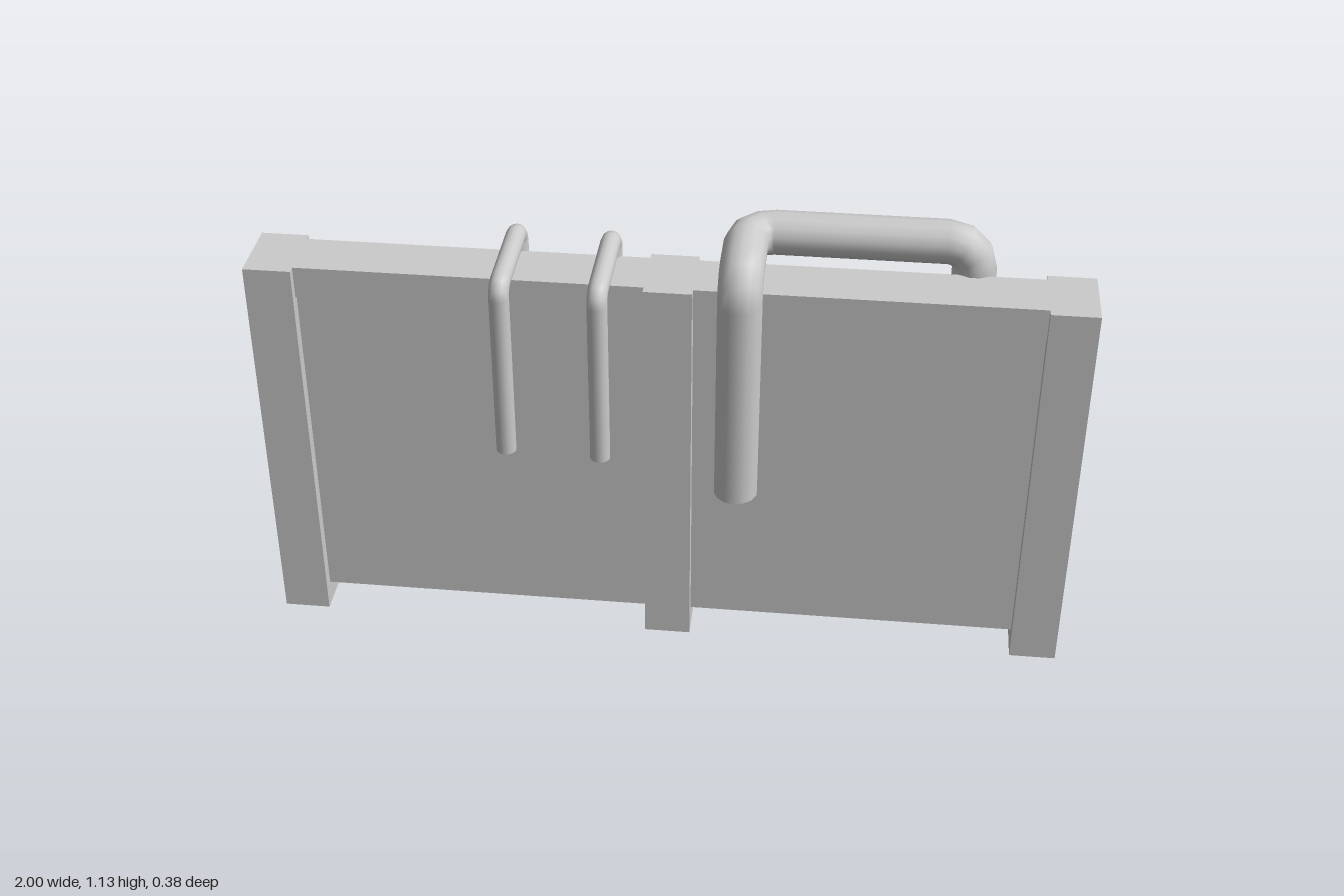
import * as THREE from 'three';

const grey = new THREE.MeshStandardMaterial({ color: 0xcccccc, side: THREE.DoubleSide });

// Polyline path with evenly stepped round bends; u runs over the listed stations
class PipePath extends THREE.Curve {
  constructor(corners, bend) {
    super();
    const v = corners.map((c) => new THREE.Vector3(...c));
    const last = v.length - 1;
    const dir = (i) => v[i + 1].clone().sub(v[i]).normalize();
    this.stations = [{ p: v[0], t: dir(0) }];
    for (let i = 1; i < last; i++) {
      const a = dir(i - 1), b = dir(i);
      const centre = v[i].clone().addScaledVector(a, -bend).addScaledVector(b, bend);
      for (let k = 0; k <= 3; k++) {
        const ang = (k / 3) * Math.PI / 2, s = Math.sin(ang), c = Math.cos(ang);
        this.stations.push({
          p: centre.clone().addScaledVector(a, bend * s).addScaledVector(b, -bend * c),
          t: a.clone().multiplyScalar(c).addScaledVector(b, s),
        });
      }
    }
    this.stations.push({ p: v[last], t: dir(last - 1) });
  }
  station(u) { return this.stations[Math.round(u * (this.stations.length - 1))]; }
  getPointAt(u, target = new THREE.Vector3()) { return target.copy(this.station(u).p); }
  getTangentAt(u, target = new THREE.Vector3()) { return target.copy(this.station(u).t); }
}

export function createModel() {
  const model = new THREE.Group();
  model.name = 'wallWithPipes';

  const add = (name, geometry) => {
    const mesh = new THREE.Mesh(geometry, grey);
    mesh.name = name;
    model.add(mesh);
  };
  // Box given by its limits on each axis; openBottom drops the underside
  const box = (name, [x0, x1], [y0, y1], [z0, z1], openBottom = false) => {
    const g = new THREE.BoxGeometry(x1 - x0, y1 - y0, z1 - z0);
    if (openBottom) {
      const index = Array.from(g.index.array);
      index.splice(18, 6);
      g.setIndex(index);
      g.clearGroups();
    }
    g.translate((x0 + x1) / 2, (y0 + y1) / 2, (z0 + z1) / 2);
    add(name, g);
  };
  const pipe = (name, radius, bend, corners) => {
    const path = new PipePath(corners, bend);
    add(name, new THREE.TubeGeometry(path, path.stations.length - 1, radius, 14, false));
  };

  // Hollow posts
  const posts = { rightPost: [-1, -0.885], middlePost: [-0.05, 0.065], leftPost: [0.885, 1] };
  for (const [name, span] of Object.entries(posts)) box(name, span, [0, 1.015], [-0.115, 0.062], true);

  // Wall panels with a slightly proud rail on top
  for (const [side, span] of [['right', [-0.885, -0.05]], ['left', [0.065, 0.885]]]) {
    box(side + 'Panel', span, [0.06, 0.935], [-0.083, 0.032]);
    box(side + 'TopRail', span, [0.935, 1.015], [-0.097, 0.042]);
  }

  // Hatch on the back with its drain spout
  box('backHatch', [0.23, 0.6], [0.06, 0.4], [-0.093, -0.08]);
  pipe('drainPipe', 0.023, 0.03, [[0.345, 0.002, -0.12], [0.345, 0.255, -0.12], [0.345, 0.255, -0.08]]);

  // Large pipe over the wall
  pipe('largePipe', 0.053, 0.065, [
    [0.178, 0.48, 0.088], [0.178, 1.08, 0.088], [0.178, 1.08, -0.137],
    [0.715, 1.08, -0.137], [0.715, 0.008, -0.137],
  ]);

  // Two thin pipes hooked over the wall and turned into it at the back
  for (const [name, x, front, back] of [['thinPipeOuter', -0.37, 0.156, -0.116], ['thinPipeInner', -0.142, 0.165, -0.107]]) {
    pipe(name, 0.024, 0.03, [
      [x, 0.612, front], [x, 1.063, front], [x, 1.063, back], [x, 0.15, back], [x, 0.15, -0.07],
    ]);
  }
  return model;
}
